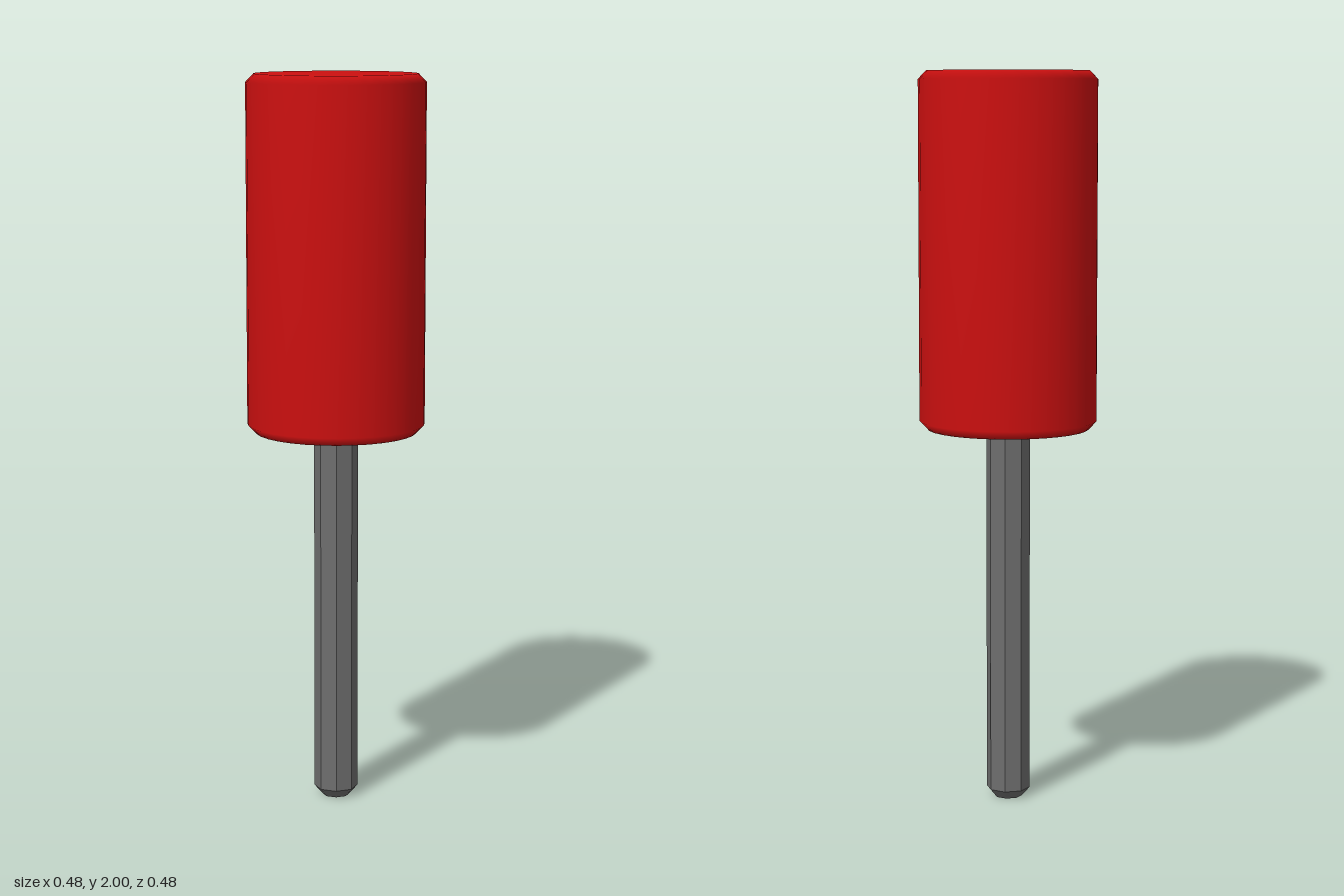
import * as THREE from 'three';

const red = new THREE.MeshStandardMaterial({ color: 0xcc1010 });
red.name = 'red';
const grey = new THREE.MeshStandardMaterial({ color: 0x6e6e6e });
grey.name = 'steel grey';

// Faceted octagonal section with a corner facing the front
function octagon(name, topRadius, bottomRadius, y0, y1, openEnded) {
  const geometry = new THREE.CylinderGeometry(topRadius, bottomRadius, y1 - y0, 8, 1, openEnded).toNonIndexed();
  geometry.computeVertexNormals();
  const mesh = new THREE.Mesh(geometry, grey);
  mesh.name = name;
  mesh.position.y = (y0 + y1) / 2;
  return mesh;
}

export function createModel() {
  const model = new THREE.Group();
  model.name = 'cylindricalHeadOnShaft';

  // Smooth cylindrical head with small bevels at both ends
  const profile = [
    [0, 1.033], [0.22, 1.033], [0.242, 1.056],
    [0.242, 1.977], [0.22, 2], [0, 2],
  ].map(([r, y]) => new THREE.Vector2(r, y));
  const head = new THREE.Mesh(new THREE.LatheGeometry(profile, 32), red);
  head.name = 'head';
  model.add(head);

  // Octagonal shaft with a chamfered tip
  const shaft = new THREE.Group();
  shaft.name = 'shaft';
  shaft.add(octagon('shaftRod', 0.06, 0.06, 0.025, 1.035, true));
  shaft.add(octagon('shaftTip', 0.06, 0.038, 0, 0.025, false));
  model.add(shaft);

  return model;
}
